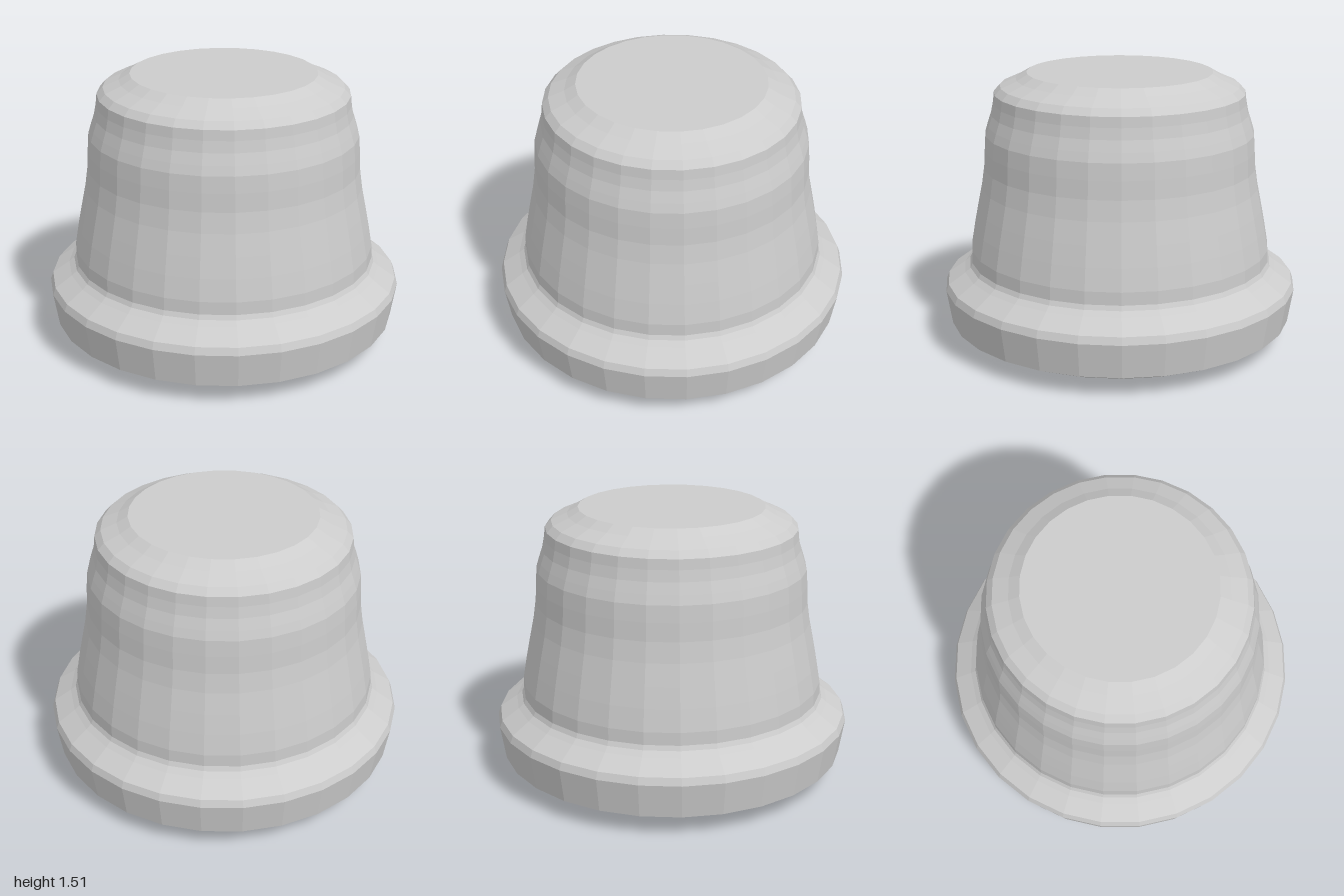
import * as THREE from 'three';

const SIDES = 28;

export function createModel() {
  const group = new THREE.Group();
  group.name = 'knob';
  const grey = new THREE.MeshStandardMaterial({ color: 0xcccccc, flatShading: true });
  grey.name = 'light grey';

  // Each part is a faceted ring profile of [radius, height], from bottom to top
  const addPart = (name, profile) => {
    const points = profile.map(([r, y]) => new THREE.Vector2(r, y));
    const mesh = new THREE.Mesh(new THREE.LatheGeometry(points, SIDES), grey);
    mesh.name = name;
    group.add(mesh);
  };

  // Stepped underside
  addPart('base', [[0, 0], [0.605, 0], [0.69, 0.035], [0.9, 0.08], [0.97, 0.115]]);

  // Flared lip around the foot
  addPart('rim', [[0.97, 0.115], [1, 0.305], [0.985, 0.345], [0.89, 0.41], [0.86, 0.435], [0.848, 0.46]]);

  // Tapering wall with a gentle shoulder
  addPart('body', [
    [0.848, 0.46], [0.846, 0.53], [0.825, 0.65], [0.803, 0.76], [0.778, 0.88], [0.762, 0.99],
    [0.757, 1.09], [0.75, 1.18], [0.735, 1.23], [0.715, 1.29], [0.703, 1.35], [0.697, 1.405],
  ]);

  // Bevelled top with a flat disc
  addPart('cap', [[0.697, 1.405], [0.663, 1.442], [0.575, 1.48], [0.515, 1.515], [0, 1.515]]);

  return group;
}
